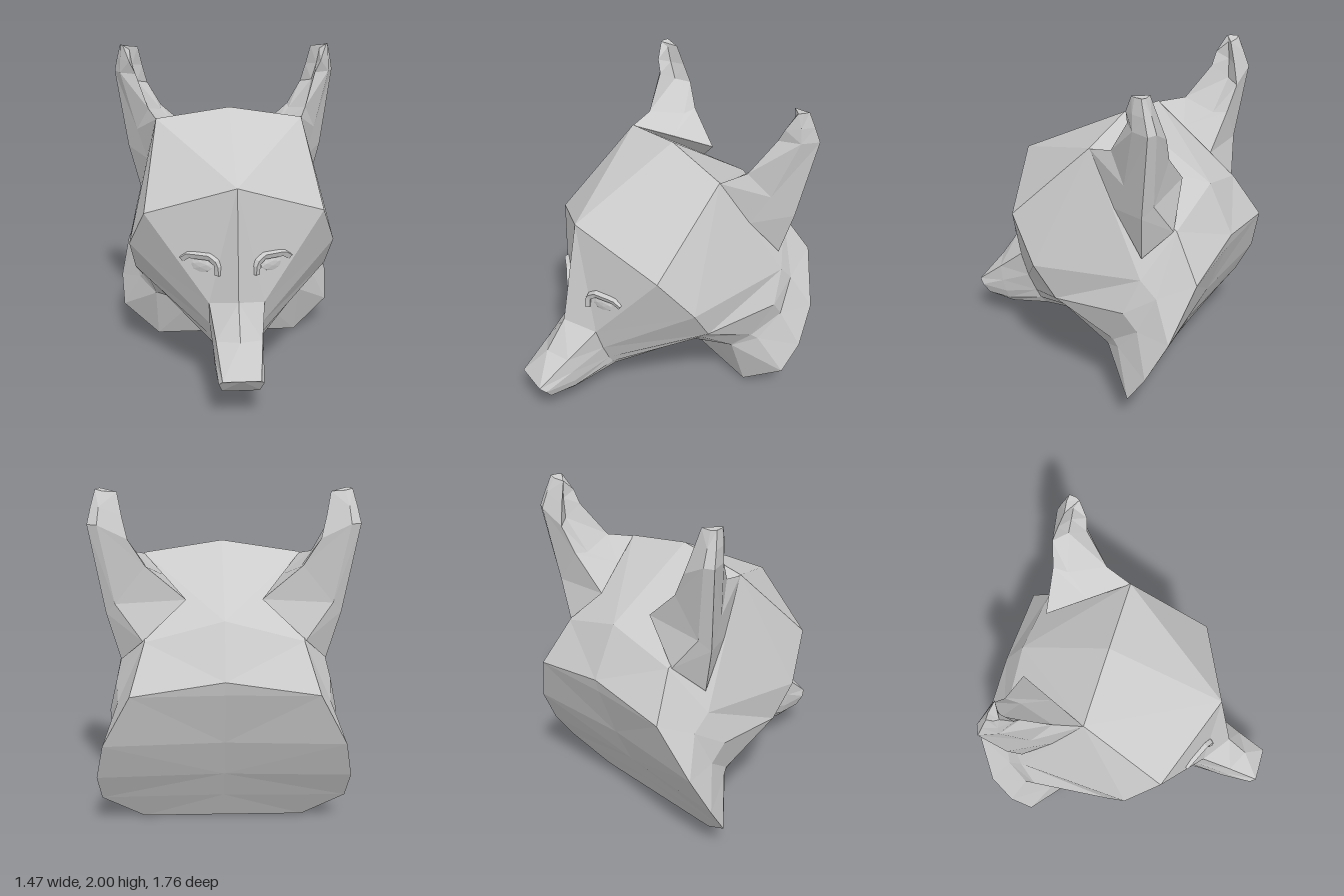
import * as THREE from 'three';

const material = new THREE.MeshStandardMaterial({ color: 0xcccccc, flatShading: true, side: THREE.DoubleSide });

const distance = (a, b) => Math.hypot(a[0] - b[0], a[1] - b[1], a[2] - b[2]);

// Skin a list of equal-length cross-sections with flat triangles, splitting each quad along
// its shorter diagonal and capping both ends. Side -1 mirrors the shape across x.
function loft(rings, closed, sides) {
  const pos = [];
  const n = rings[0].length;
  for (const s of sides) {
    const tri = (a, b, c) => {
      for (const p of s > 0 ? [a, b, c] : [a, c, b]) pos.push(p[0] * s, p[1], p[2]);
    };
    for (let i = 0; i < rings.length - 1; i++) {
      for (let j = 0; j < (closed ? n : n - 1); j++) {
        const k = (j + 1) % n;
        const a = rings[i][j], b = rings[i][k], c = rings[i + 1][k], d = rings[i + 1][j];
        if (distance(b, d) <= distance(a, c)) {
          tri(a, b, d);
          tri(b, c, d);
        } else {
          tri(a, b, c);
          tri(a, c, d);
        }
      }
    }
    const first = rings[0], last = rings[rings.length - 1];
    for (let j = 1; j < n - 1; j++) {
      tri(first[0], first[j + 1], first[j]);
      tri(last[0], last[j], last[j + 1]);
    }
  }
  const geometry = new THREE.BufferGeometry();
  geometry.setAttribute('position', new THREE.Float32BufferAttribute(pos, 3));
  geometry.computeVertexNormals();
  return geometry;
}

function add(group, geometry, name) {
  const mesh = new THREE.Mesh(geometry, material);
  mesh.name = name;
  group.add(mesh);
  return mesh;
}

// Half cross-sections, from top centre round the left side to bottom centre
const noseTip = [[0, 0.28, 0.885], [0.11, 0.28, 0.885], [0.13, 0.25, 0.85], [0.12, 0.22, 0.83], [0.11, 0.19, 0.81], [0.09, 0.175, 0.79], [0.05, 0.175, 0.79], [0, 0.175, 0.79]];
const muzzle = [[0, 0.46, 0.76], [0.135, 0.44, 0.69], [0.145, 0.34, 0.67], [0.14, 0.26, 0.65], [0.12, 0.2, 0.64], [0.09, 0.165, 0.63], [0.05, 0.16, 0.63], [0, 0.16, 0.63]];
const muzzleBase = [[0, 0.65, 0.63], [0.165, 0.6, 0.5], [0.16, 0.45, 0.45], [0.145, 0.34, 0.4], [0.14, 0.29, 0.37], [0.12, 0.25, 0.34], [0.07, 0.235, 0.33], [0, 0.235, 0.33]];
const brow = [[0, 1.3, 0.52], [0.54, 1.1, 0.3], [0.64, 0.85, 0.1], [0.61, 0.65, -0.03], [0.53, 0.57, -0.04], [0.43, 0.49, -0.045], [0.2, 0.34, -0.08], [0, 0.34, -0.08]];
const crown = [[0, 1.65, -0.17], [0.46, 1.58, -0.18], [0.61, 0.92, -0.58], [0.66, 0.71, -0.5], [0.58, 0.46, -0.4], [0.49, 0.36, -0.31], [0.23, 0.28, -0.33], [0, 0.28, -0.33]];
const nape = [[0, 1.3, -0.73], [0.44, 1.18, -0.715], [0.6, 0.82, -0.675], [0.64, 0.6, -0.58], [0.6, 0.43, -0.44], [0.49, 0.35, -0.32], [0.23, 0.27, -0.335], [0, 0.27, -0.335]];
const neckEnd = [[0, 1.0, -0.88], [0.52, 0.92, -0.88], [0.685, 0.6, -0.795], [0.735, 0.36, -0.68], [0.72, 0.18, -0.565], [0.48, 0, -0.45], [0.23, 0, -0.45], [0, 0, -0.45]];
// Gently dished closing face of the neck, drawn in to the centre line
const neckCap = neckEnd.map(([, y, z]) => [0, y, (z - 0.45 - 0.43 * y) / 2]);

// Ear sections from root to tip: front edge, outer face, outer back, back, inner edge, hollow
const earRings = [
  [[0.46, 1.575, -0.18], [0.525, 1.28, -0.37], [0.58, 1.04, -0.57], [0.45, 1.18, -0.7], [0.21, 1.4, -0.64], [0.335, 1.49, -0.41]],
  [[0.51, 1.615, -0.34], [0.59, 1.46, -0.46], [0.655, 1.32, -0.6], [0.6, 1.38, -0.645], [0.43, 1.59, -0.65], [0.43, 1.575, -0.56]],
  [[0.59, 1.82, -0.475], [0.695, 1.82, -0.555], [0.735, 1.82, -0.66], [0.68, 1.82, -0.685], [0.52, 1.74, -0.67], [0.585, 1.76, -0.59]],
  [[0.63, 1.9, -0.485], [0.69, 1.91, -0.55], [0.715, 1.91, -0.63], [0.67, 1.91, -0.65], [0.55, 1.86, -0.635], [0.615, 1.87, -0.575]],
  [[0.67, 2.0, -0.535], [0.685, 2.0, -0.56], [0.69, 2.0, -0.6], [0.65, 1.99, -0.605], [0.575, 1.985, -0.595], [0.63, 1.97, -0.56]],
];

// Upper eyelid path
const lidPath = [[0.11, 0.78, 0.515], [0.115, 0.85, 0.515], [0.16, 0.885, 0.49], [0.28, 0.885, 0.435], [0.32, 0.855, 0.41]];

export function createModel() {
  const model = new THREE.Group();
  model.name = 'foxHead';

  // Head, muzzle and neck in one faceted shell
  add(model, loft([noseTip, muzzle, muzzleBase, brow, crown, nape, neckEnd, neckCap], false, [1, -1]), 'head');

  for (const [s, label] of [[1, 'left'], [-1, 'right']]) {
    add(model, loft(earRings, true, [s]), label + 'Ear');

    // Arched lid over a shallow eye
    const path = new THREE.CurvePath();
    const points = lidPath.map(([x, y, z]) => new THREE.Vector3(x * s, y, z));
    for (let i = 0; i < points.length - 1; i++) path.add(new THREE.LineCurve3(points[i], points[i + 1]));
    add(model, new THREE.TubeGeometry(path, 12, 0.022, 4), label + 'Eyelid');

    const eye = add(model, new THREE.IcosahedronGeometry(1, 1), label + 'Eye');
    eye.scale.set(0.085, 0.055, 0.025);
    eye.position.set(0.205 * s, 0.82, 0.45);
    eye.rotation.set(0.1, 0.45 * s, 0);
  }
  return model;
}
